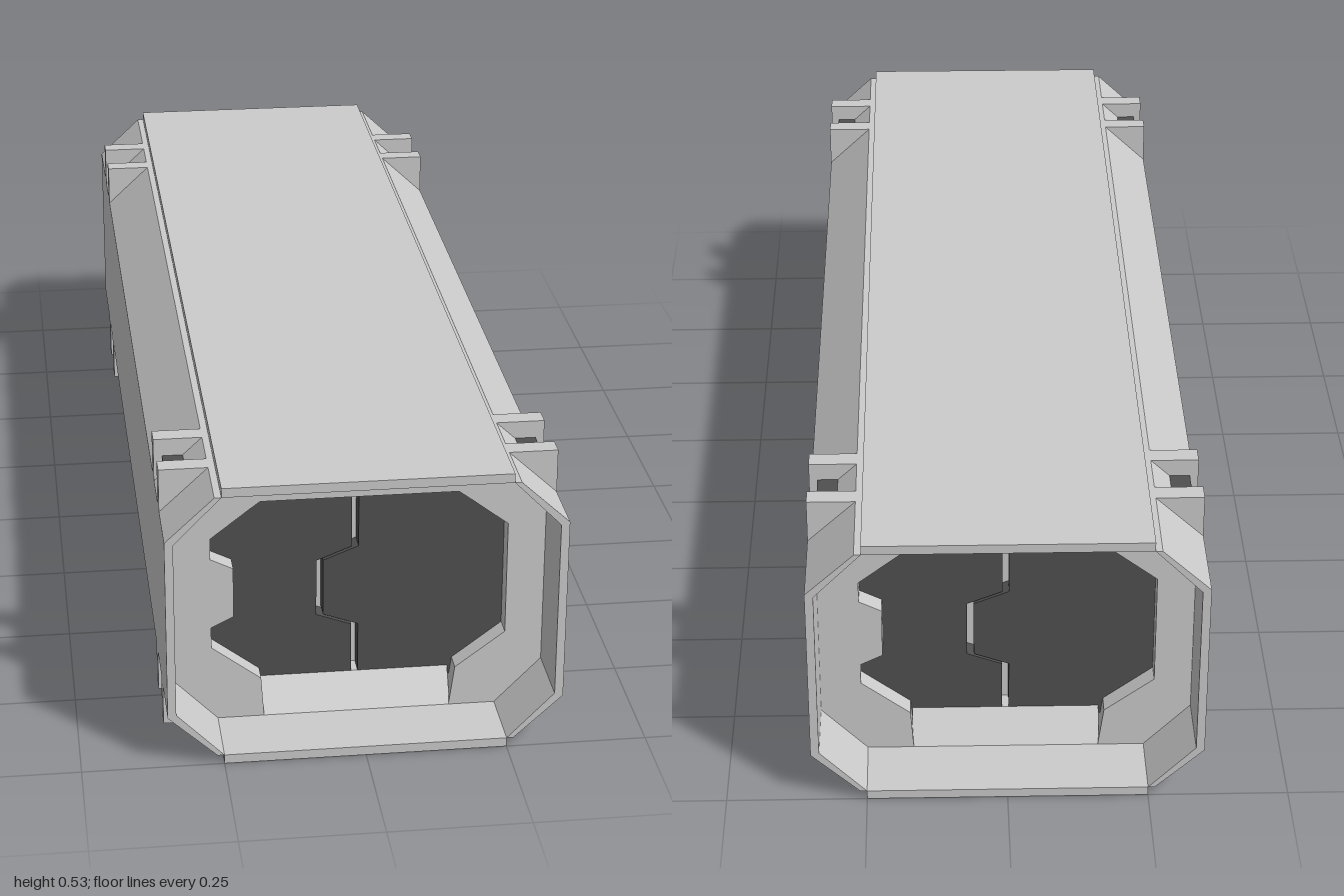
import * as THREE from 'three';

const MID = 0.267; // height of the horizontal mirror plane
const grey = new THREE.MeshStandardMaterial({ color: 0xcccccc, flatShading: true });
const dark = new THREE.MeshStandardMaterial({ color: 0x505050, flatShading: true });

function shapeOf(points) {
  return new THREE.Shape(points.map(([x, y]) => new THREE.Vector2(x, y)));
}

// Extrude an (x, y) outline from z0 to z1
function prism(name, points, z0, z1, material = grey, hole = null) {
  const shape = shapeOf(points);
  if (hole) shape.holes.push(shapeOf(hole));
  const geo = new THREE.ExtrudeGeometry(shape, { depth: z1 - z0, bevelEnabled: false });
  geo.translate(0, 0, z0);
  const mesh = new THREE.Mesh(geo, material);
  mesh.name = name;
  return mesh;
}

// Extrude a (z, y) outline across x, centred
function crossPrism(name, points, width) {
  const mesh = prism(name, points, -width / 2, width / 2);
  mesh.geometry.rotateY(-Math.PI / 2);
  return mesh;
}

function box(name, x0, x1, y0, y1, z0, z1, material = grey) {
  const geo = new THREE.BoxGeometry(x1 - x0, y1 - y0, z1 - z0);
  geo.translate((x0 + x1) / 2, (y0 + y1) / 2, (z0 + z1) / 2);
  const mesh = new THREE.Mesh(geo, material);
  mesh.name = name;
  return mesh;
}

// Recessed bulkhead with sliding doors, built for the +z end
function doorEnd(name) {
  const end = new THREE.Group();
  end.name = name;

  const front = 0.872, door = 0.835, back = 0.8;
  const octagon = [[-0.25, 0.017], [0.25, 0.017], [0.333, 0.102], [0.333, 0.432],
    [0.25, 0.517], [-0.25, 0.517], [-0.333, 0.432], [-0.333, 0.102]];
  // Frame outline: octagon with the doorway cut up from the floor
  const doorway = [[-0.167, 0.017], [-0.172, 0.093], [-0.26, 0.16], [-0.26, 0.2],
    [-0.22, 0.22], [-0.22, 0.315], [-0.26, 0.335], [-0.26, 0.375], [-0.192, 0.428],
    [-0.172, 0.443], [0.177, 0.443], [0.197, 0.428], [0.266, 0.375], [0.266, 0.16],
    [0.177, 0.093], [0.167, 0.017]];
  end.add(prism('bulkheadFrame', [...octagon.slice(1), octagon[0], ...doorway], back, front));
  end.add(prism('bulkheadBacking', octagon, 0.72, back));

  // Door leaves meeting at a stepped seam
  const seam = [[0, 0.443], [0, 0.328], [-0.063, 0.303], [-0.063, 0.195], [0, 0.172], [0, 0.06]];
  const edge = (dx) => seam.map(([x, y]) => [x + dx, y]);
  end.add(prism('doorLeafRight', [...edge(-0.006), [-0.172, 0.06], [-0.172, 0.093],
    [-0.26, 0.16], [-0.26, 0.375], [-0.172, 0.443]], back, door, dark));
  end.add(prism('doorLeafLeft', [...edge(0.006), [0.177, 0.06], [0.177, 0.093],
    [0.266, 0.16], [0.266, 0.375], [0.177, 0.443]], back, door, dark));

  // Sloping sill and header
  end.add(crossPrism('sillRamp', [[back, 0.017], [front, 0.017], [door, 0.077], [back, 0.077]], 0.338));
  end.add(crossPrism('header', [[back, 0.443], [front, 0.443], [door, 0.428], [back, 0.428]], 0.35));
  return end;
}

// Corner bracket: two triangular ribs holding a short dark bar
function bracket(name, sx, top, z0, z1) {
  const g = new THREE.Group();
  g.name = name;
  const Y = (y) => (top ? y : 2 * MID - y);
  const rib = [[0.257, 0.517], [0.348, 0.517], [0.348, 0.432]].map(([x, y]) => [sx * x, Y(y)]);
  const w = 0.036;
  g.add(prism('bracketRib', rib, z0, z0 + w));
  g.add(prism('bracketRib', rib, z1 - w, z1));
  const xs = [sx * 0.295, sx * 0.333].sort((a, b) => a - b);
  const ys = [Y(0.447), Y(0.485)].sort((a, b) => a - b);
  g.add(box('bracketBar', ...xs, ...ys, z0 + w, z1 - w, dark));
  return g;
}

export function createModel() {
  const model = new THREE.Group();
  model.name = 'corridor';

  // Roof and floor plates
  model.add(box('roofPlate', -0.25, 0.25, 0.517, 0.534, -1, 1));
  model.add(box('floorPlate', -0.25, 0.25, 0, 0.017, -1, 1));

  // Side walls with chamfered edges
  const wall = [[0.25, 0.517], [0.262, 0.517], [0.348, 0.437], [0.348, 0.097],
    [0.262, 0.017], [0.25, 0.017], [0.333, 0.102], [0.333, 0.432]];
  for (const s of [1, -1]) {
    model.add(prism(s > 0 ? 'leftWall' : 'rightWall', wall.map(([x, y]) => [s * x, y]), -1, 1));
  }

  // Doors at both ends
  model.add(doorEnd('frontDoorEnd'));
  const rear = doorEnd('rearDoorEnd');
  rear.rotation.y = Math.PI;
  model.add(rear);

  // Brackets on all four long edges
  for (const s of [1, -1]) {
    for (const top of [true, false]) {
      model.add(bracket('frontBracket', s, top, 0.72, 0.88));
      model.add(bracket('rearBracket', s, top, -0.83, -0.668));
    }
  }

  // Flush straps joining the front brackets on the left wall
  for (const z of [0.72, 0.844]) {
    model.add(box('wallStrap', 0.335, 0.3485, 0.017, 0.517, z, z + 0.036));
  }
  return model;
}
